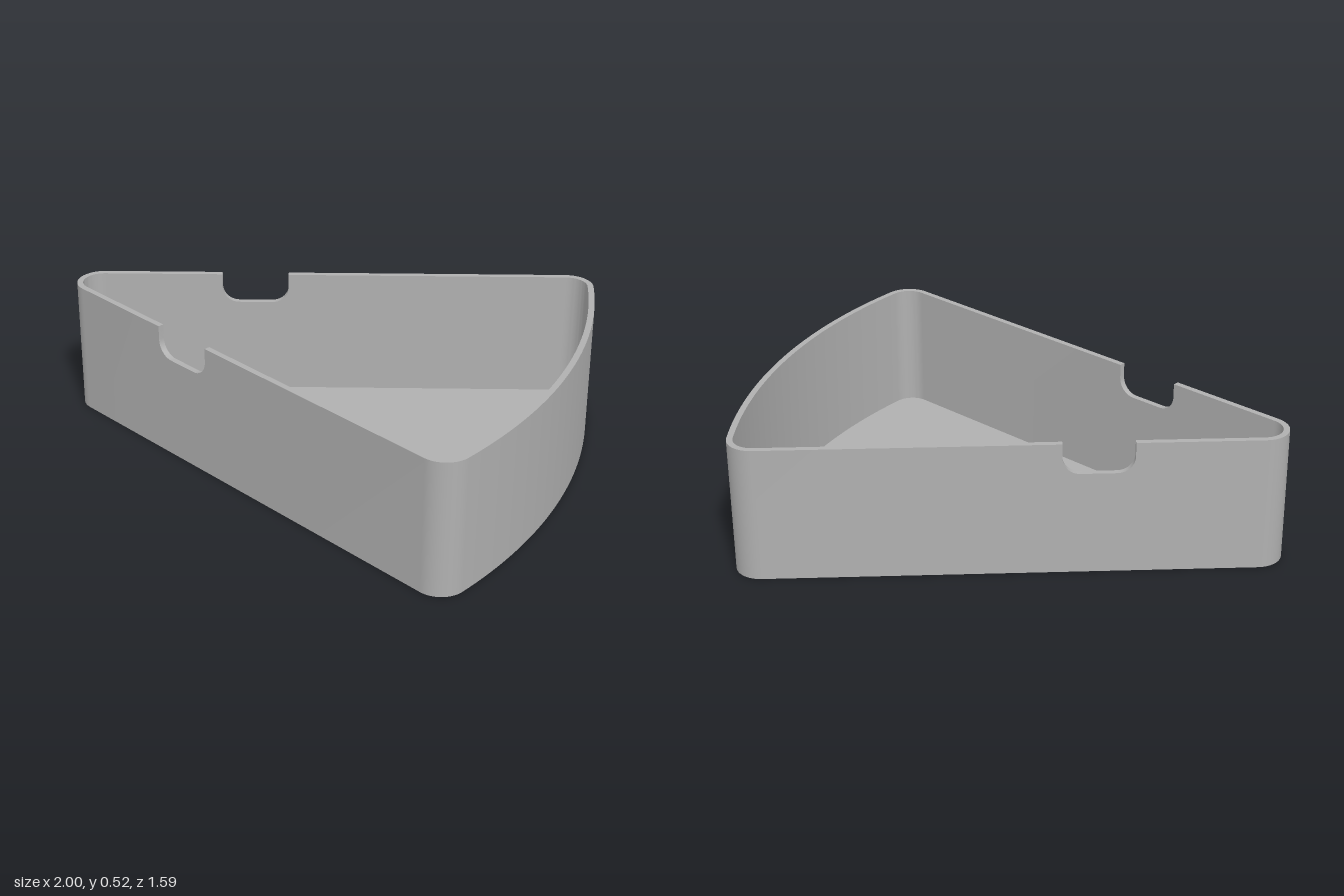
import * as THREE from 'three';
import { toCreasedNormals } from 'three/addons/utils/BufferGeometryUtils.js';

const HEIGHT = 0.523, WALL = 0.023, FLOOR = 0.023;
const HALF = Math.PI / 8;                 // half of the 45 degree wedge
const R = 0.1;                            // corner radius
const TIP_X = -1 + R;                     // centre of the tip rounding
const APEX_X = TIP_X - R / Math.sin(HALF); // where the straight sides would meet
const ARC_R = 1 - APEX_X;                 // radius of the curved end
const NOTCH = { x0: -0.51, x1: -0.268, y: 0.404, r: 0.065 };

// A station of the outline: outer point, outward direction and rim height
function station(x, z, angle, y = HEIGHT) {
  return { x, z, nx: Math.cos(angle), nz: Math.sin(angle), y };
}

function arc(cx, cz, r, from, to, segments) {
  const list = [];
  for (let i = 0; i <= segments; i++) {
    const a = from + (to - from) * i / segments;
    list.push(station(cx + r * Math.cos(a), cz + r * Math.sin(a), a));
  }
  return list;
}

// Round-bottomed notch in a straight side; side = 1 front, -1 back
function notch(side) {
  const { x0, x1, y, r } = NOTCH, angle = side * (Math.PI / 2 + HALF);
  const rx = r * Math.cos(HALF), steps = 10;
  const profile = [[x0, HEIGHT]];
  for (let i = 0; i <= steps; i++) {
    const a = (Math.PI / 2) * i / steps;
    profile.push([x0 + rx * (1 - Math.cos(a)), y + r * (1 - Math.sin(a))]);
  }
  for (let i = steps; i >= 0; i--) {
    const a = (Math.PI / 2) * i / steps;
    profile.push([x1 - rx * (1 - Math.cos(a)), y + r * (1 - Math.sin(a))]);
  }
  profile.push([x1, HEIGHT]);
  const list = profile.map(([x, h]) => station(x, side * (x - APEX_X) * Math.tan(HALF), angle, h));
  return side > 0 ? list : list.reverse();
}

// Closed outline: tip, front side, corner, curved end, corner, back side
function outline() {
  const normal = Math.PI / 2 + HALF;
  const bend = HALF - Math.asin(R / (ARC_R - R));
  const cx = APEX_X + (ARC_R - R) * Math.cos(bend);
  const cz = (ARC_R - R) * Math.sin(bend);
  return [
    ...arc(TIP_X, 0, R, 2 * Math.PI - normal, normal, 24),
    ...notch(1),
    ...arc(cx, cz, R, normal, bend, 16),
    ...arc(APEX_X, 0, ARC_R, bend, -bend, 40).slice(1, -1),
    ...arc(cx, -cz, R, -bend, -normal, 16),
    ...notch(-1),
  ];
}

const outer = (s, y) => [s.x, y, s.z];
const inner = (s, y) => [s.x - s.nx * WALL, y, s.z - s.nz * WALL];

function toGeometry(triangles) {
  const g = new THREE.BufferGeometry();
  g.setAttribute('position', new THREE.Float32BufferAttribute(triangles.flat(2), 3));
  return toCreasedNormals(g, Math.PI / 6);
}

export function createModel() {
  const group = new THREE.Group();
  group.name = 'wedgeTray';
  const grey = new THREE.MeshStandardMaterial({ color: 0xb0b0b0 });
  grey.name = 'grey';

  const wall = [], floor = [];
  const quad = (a, b, c, d) => wall.push([a, b, c], [a, c, d]);
  const path = outline();
  path.forEach((a, i) => {
    const b = path[(i + 1) % path.length];
    // rim, including the cut faces of the notches
    quad(outer(a, a.y), outer(b, b.y), inner(b, b.y), inner(a, a.y));
    // stations stacked at a notch edge need no side faces
    if (Math.hypot(a.x - b.x, a.z - b.z) < 1e-6) return;
    quad(outer(a, 0), outer(b, 0), outer(b, b.y), outer(a, a.y));
    quad(inner(b, FLOOR), inner(a, FLOOR), inner(a, a.y), inner(b, b.y));
    // underside and inside of the floor
    floor.push([[0, 0, 0], outer(b, 0), outer(a, 0)]);
    floor.push([[0, FLOOR, 0], inner(a, FLOOR), inner(b, FLOOR)]);
  });

  for (const [name, triangles] of [['wall', wall], ['floor', floor]]) {
    const mesh = new THREE.Mesh(toGeometry(triangles), grey);
    mesh.name = name;
    group.add(mesh);
  }
  return group;
}
